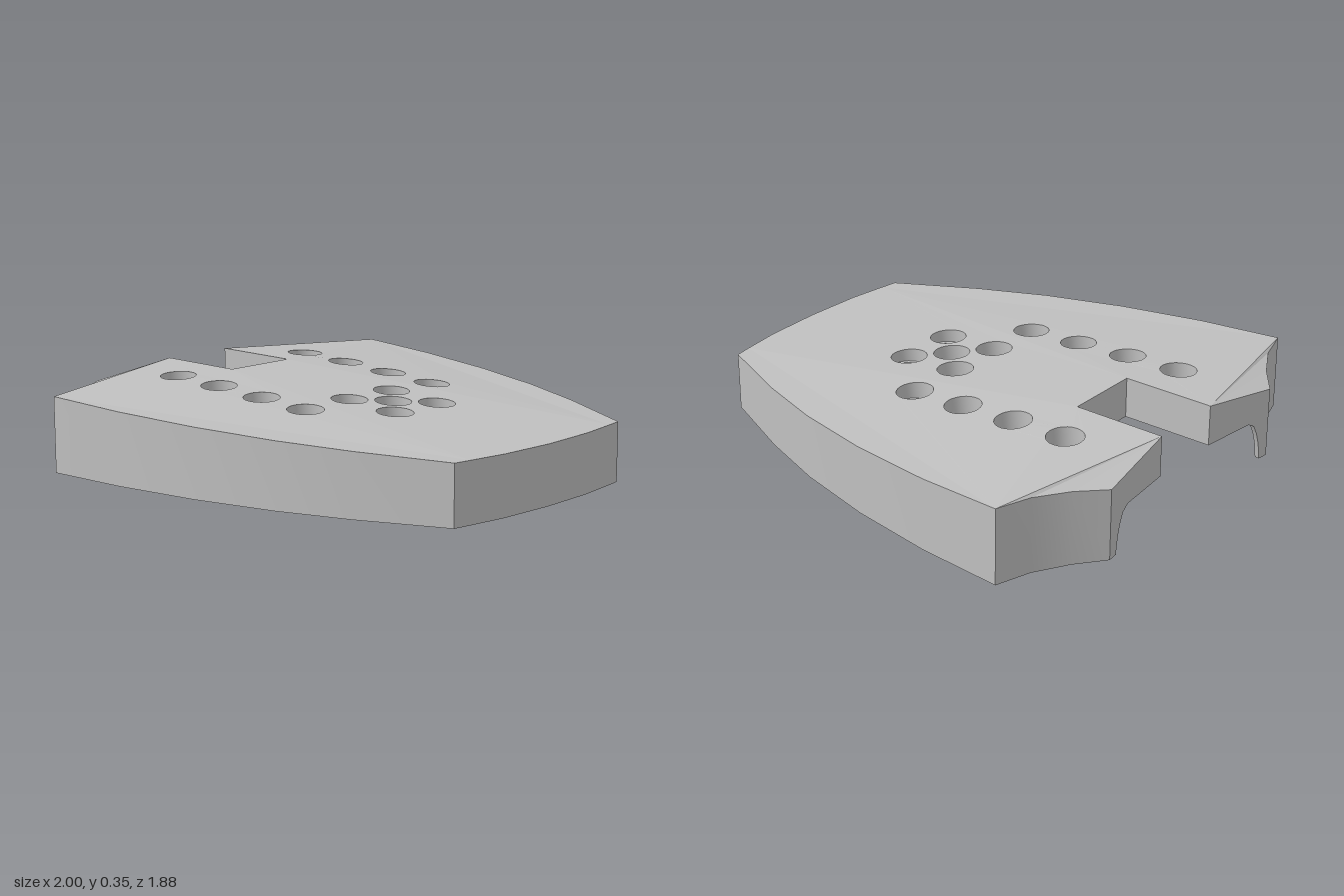
import * as THREE from 'three';
import { toCreasedNormals } from 'three/addons/utils/BufferGeometryUtils.js';

const SKIN = 0.02;      // wall and deck thickness
const RIB_Y = 0.18;     // underside of ribs and notch walls
const SEGS = 24;

// Half outline on the +z side, from the nose to the notch: [x, z, topY, bottomY]
const arc = [[0.955, 0.495], [0.6, 0.655], [0.3, 0.763], [-0.05, 0.852], [-0.42, 0.911], [-0.785, 0.938]]
  .map(([x, z]) => [x, z, 0.315 - 0.0402 * (x + 0.785), 0]);
const nose = [[1, 0, 0.243, 0], [0.99, 0.25, 0.244, 0], [0.967, 0.42, 0.245, 0]];
const scoop = [[-0.83, 0.79, 0.312, 0], [-0.91, 0.65, 0.305, 0], [-1, 0.535, 0.295, 0]];
// Tail edge, whose lower side curves up to the notch
const tail = [[0.49, 0], [0.48, 0.07], [0.465, 0.12], [0.445, 0.16], [0.41, RIB_Y], [0.163, RIB_Y]]
  .map(([z, b]) => {
    const t = (0.535 - z) / 0.372;
    return [-1 + 0.04 * t, z, 0.295 + 0.055 * t, b];
  });
const notch = [-0.565, 0.163, 0.35, RIB_Y];
const half = [...nose, ...arc, ...scoop, ...tail, notch];
const flip = ([x, z, t, b]) => [x, -z, t, b];
const outline = [...half, ...half.slice(1).reverse().map(flip)];

// Height of the top deck: a sloped centre and ruled sides
function deckY(x, z) {
  z = Math.abs(z);
  const inner = 0.35 - 0.0689 * Math.max(0, x + 0.565);
  const zi = 0.163 + 0.168 * Math.max(0, x + 0.565);
  if (z <= zi) return inner;
  let i = 0;
  while (i < arc.length - 2 && x < arc[i + 1][0]) i++;
  const [a, b] = [arc[i], arc[i + 1]];
  const zo = a[1] + (b[1] - a[1]) * (x - a[0]) / (b[0] - a[0]);
  const outer = 0.315 - 0.0402 * (x + 0.785);
  return inner + (outer - inner) * (z - zi) / (zo - zi);
}

const circle = (cx, cz, r) => Array.from({ length: SEGS }, (_, i) => {
  const a = i / SEGS * Math.PI * 2;
  const x = cx + r * Math.sin(a), z = cz + r * Math.cos(a);
  return [x, z, deckY(x, z)];
});

function geometryFrom(pos) {
  const g = new THREE.BufferGeometry();
  g.setAttribute('position', new THREE.Float32BufferAttribute(pos, 3));
  g.computeVertexNormals();
  return g;
}

// Sheet with holes, facing up or down
function sheet(points, holes, drop, up) {
  const flat = list => list.map(p => new THREE.Vector2(p[0], p[1]));
  const all = [points, ...holes].flat();
  const pos = [];
  for (const tri of THREE.ShapeUtils.triangulateShape(flat(points), holes.map(flat))) {
    const [a, b, c] = tri.map(i => all[i]);
    const cross = (b[0] - a[0]) * (c[1] - a[1]) - (b[1] - a[1]) * (c[0] - a[0]);
    const order = (cross < 0) === up ? [a, b, c] : [a, c, b];
    for (const p of order) pos.push(p[0], p[2] - drop, p[1]);
  }
  return geometryFrom(pos);
}

// Thin wall around the outline: outer face, inner face and lower rim
function wallGeometry() {
  const n = outline.length;
  const dir = (a, b) => new THREE.Vector2(b[0] - a[0], b[1] - a[1]).normalize();
  const inset = outline.map((p, i) => {
    const d0 = dir(outline[(i + n - 1) % n], p), d1 = dir(p, outline[(i + 1) % n]);
    const m = new THREE.Vector2(-d0.y - d1.y, d0.x + d1.x);
    m.multiplyScalar(SKIN / (1 + d0.dot(d1)));
    return [p[0] + m.x, p[1] + m.y];
  });
  const pos = [];
  const quad = (a, b, c, d) => pos.push(...a, ...b, ...c, ...a, ...c, ...d);
  outline.forEach((p, i) => {
    const j = (i + 1) % n, q = outline[j], pi = inset[i], qi = inset[j];
    const pb = [p[0], p[3], p[1]], pt = [p[0], p[2], p[1]];
    const qb = [q[0], q[3], q[1]], qt = [q[0], q[2], q[1]];
    const pib = [pi[0], p[3], pi[1]], pit = [pi[0], p[2] - SKIN / 2, pi[1]];
    const qib = [qi[0], q[3], qi[1]], qit = [qi[0], q[2] - SKIN / 2, qi[1]];
    quad(pb, pt, qt, qb);
    quad(pib, qib, qit, pit);
    quad(pb, qb, qib, pib);
  });
  return toCreasedNormals(geometryFrom(pos), 0.35);
}

// Stepped socket open through the middle; its rims follow the deck
function socketGeometry(cx, cz) {
  const RIM = 1, CEILING = 2;
  const profile = [[0.075, RIM], [0.075, 0.232], [0.06, 0.232], [0.06, 0.205], [0.044, 0.205], [0.044, 0.168],
    [0.066, 0.168], [0.066, 0.215], [0.093, 0.215], [0.093, CEILING]];
  const g = new THREE.LatheGeometry(profile.map(p => new THREE.Vector2(...p)), SEGS);
  const p = g.attributes.position;
  for (let i = 0; i < p.count; i++) {
    const x = p.getX(i) + cx, z = p.getZ(i) + cz, y = p.getY(i);
    p.setXYZ(i, x, y === RIM ? deckY(x, z) : y === CEILING ? deckY(x, z) - SKIN / 2 : y, z);
  }
  return toCreasedNormals(g, 0.6);
}

// Upright rib between two plan points, with a sloping top
function ribGeometry([ax, az, ay], [bx, bz, by]) {
  const len = Math.hypot(bx - ax, bz - az);
  const g = new THREE.BoxGeometry(len, 1, 0.022);
  const p = g.attributes.position;
  for (let i = 0; i < p.count; i++) {
    p.setY(i, p.getY(i) < 0 ? RIB_Y : p.getX(i) < 0 ? ay : by);
  }
  g.rotateY(-Math.atan2(bz - az, bx - ax));
  g.translate((ax + bx) / 2, 0, (az + bz) / 2);
  g.computeVertexNormals();
  return g;
}

export function createModel() {
  const grey = new THREE.MeshStandardMaterial({ color: 0xc0c0c0 });
  grey.name = 'light grey';
  const model = new THREE.Group();
  model.name = 'socketPlate';
  const add = (name, geometry) => {
    const mesh = new THREE.Mesh(geometry, grey);
    mesh.name = name;
    model.add(mesh);
  };

  const rowHoles = [-0.667, -0.418, -0.168, 0.08].map(x => [x, 0.375]);
  const centreHoles = [[0.08, 0.125], [0.328, 0.125], [0.08, -0.125], [0.328, -0.125], [0.204, 0]];

  // Deck panels, each with a top and an underside
  const panel = (name, points, holes) => {
    add(name + 'Top', sheet(points, holes.map(h => circle(...h, 0.075)), 0, true));
    add(name + 'Underside', sheet(points, holes.map(h => circle(...h, 0.08)), SKIN, false));
  };
  panel('centreDeck', [...nose, notch, flip(notch), ...nose.slice(1).reverse().map(flip)], centreHoles);
  const tailTip = tail[tail.length - 1];
  const side = [nose[2], ...arc, scoop[0], tailTip, notch];
  const end = [...scoop, tailTip];
  for (const s of [1, -1]) {
    const m = list => (s > 0 ? list : list.map(flip));
    const name = s > 0 ? 'front' : 'back';
    panel(name + 'Deck', m(side), rowHoles.map(([x, z]) => [x, s * z]));
    panel(name + 'TailFacet', m(end), []);
    // Ribs under the deck
    add(name + 'LongRib', ribGeometry([-0.56, s * 0.163, 0.34], [0.955, s * 0.418, 0.235]));
    add(name + 'CornerRib', ribGeometry([-0.69, s * 0.458, 0.325], [-0.775, s * 0.92, 0.305]));
    for (const [x, z] of rowHoles) add(name + 'Socket', socketGeometry(x, s * z));
  }
  for (const [x, z] of centreHoles) add('centreSocket', socketGeometry(x, z));

  add('outerWall', wallGeometry());
  return model;
}
